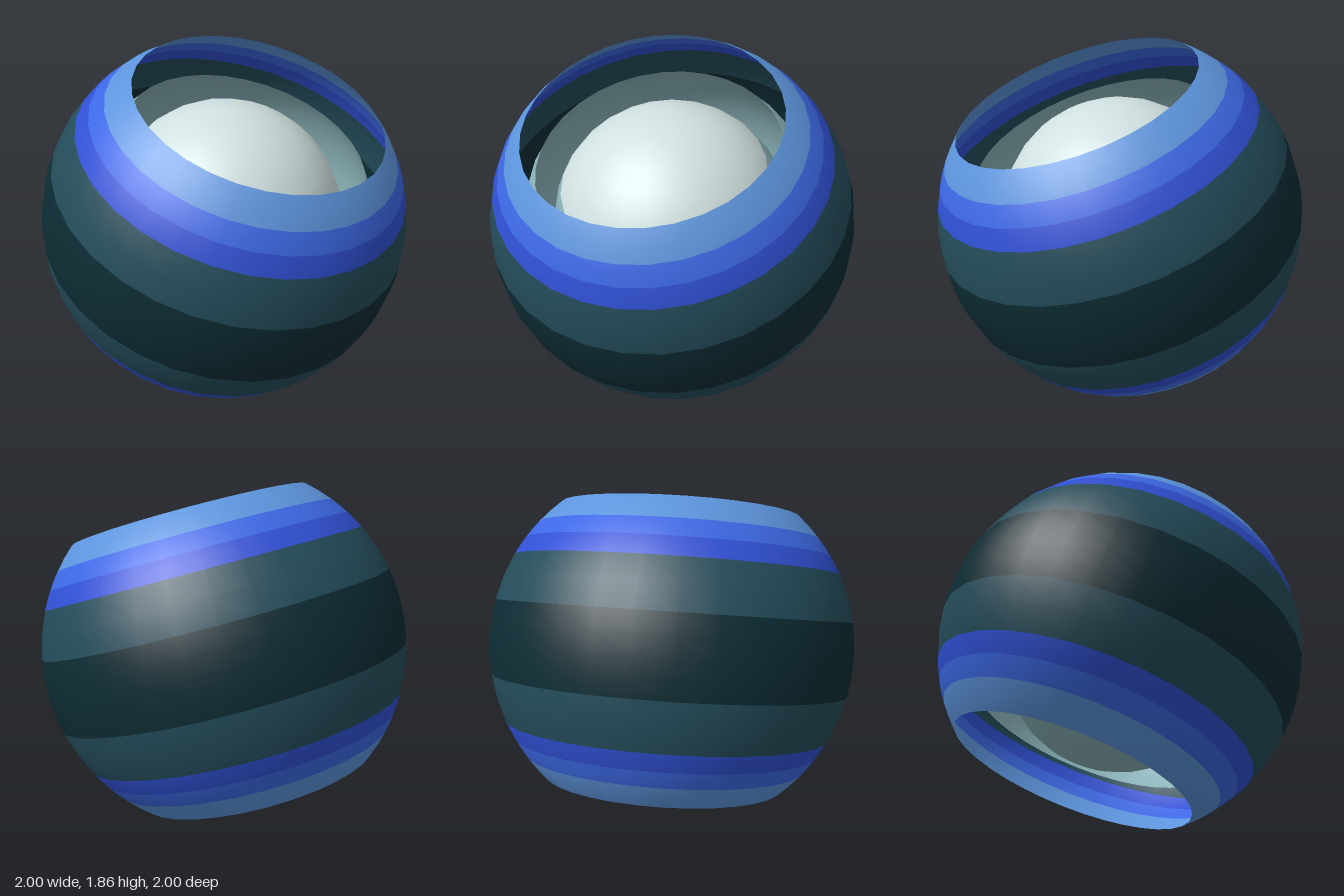
import * as THREE from 'three';

const mat = (name, color, side = THREE.DoubleSide) => {
  const m = new THREE.MeshStandardMaterial({ color, side });
  m.name = name;
  return m;
};

export function createModel() {
  const sky = mat('sky blue', 0x5c94dc);
  const royal = mat('royal blue', 0x3c68e4);
  const deep = mat('deep blue', 0x3050d4);
  const teal = mat('slate teal', 0x244c5a);
  const dark = mat('dark teal', 0x0d2c34);
  const pale = mat('pale teal', 0x8cb4ba);
  const white = mat('pale grey', 0xd0e0e0);

  const group = new THREE.Group();
  group.name = 'bandedSphere';

  // Slice of a sphere between two latitudes in degrees
  const zone = (name, radius, top, bottom, material, rows, sides = 32) => {
    const rad = THREE.MathUtils.degToRad;
    const geo = new THREE.SphereGeometry(radius, sides, rows, 0, Math.PI * 2, rad(90 - top), rad(top - bottom));
    const mesh = new THREE.Mesh(geo, material);
    mesh.name = name;
    group.add(mesh);
  };

  // Outer shell: coloured bands mirrored about a dark equator, open at both ends
  const bands = [
    ['rimBand', 48.75, 39.3, sky],
    ['middleBand', 39.3, 33, royal],
    ['deepBand', 33, 26.8, deep],
    ['tealBand', 26.8, 11.5, teal],
  ];
  for (const [name, hi, lo, m] of bands) {
    zone(name + 'Upper', 1, hi, lo, m, 2);
    zone(name + 'Lower', 1, -lo, -hi, m, 2);
  }
  zone('equatorBand', 1, 11.5, -11.5, dark, 4);

  // Inner open shell
  zone('innerShell', 0.82, 37.6, -37.6, pale, 10);

  // Core ball with a lighter cap
  zone('coreCap', 0.655, 90, 32.5, white, 6, 24);
  zone('coreBody', 0.655, 32.5, -90, pale, 12, 24);

  // Tilt the whole ball toward the front and rest it on the ground
  group.rotation.x = THREE.MathUtils.degToRad(20);
  group.position.y = 0.932;
  const model = new THREE.Group();
  model.name = 'model';
  model.add(group);
  return model;
}
